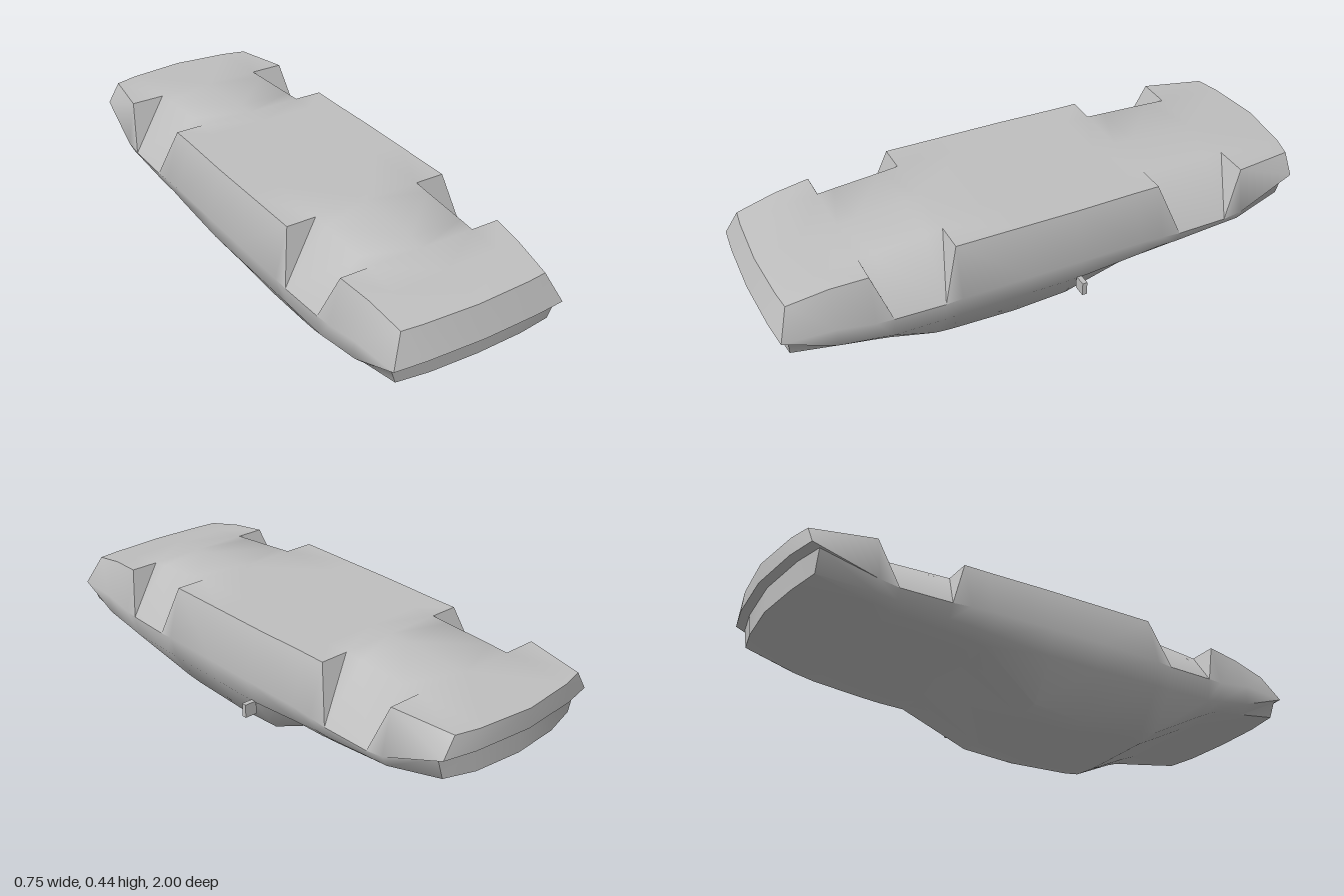
import * as THREE from 'three';
import { toCreasedNormals } from 'three/addons/utils/BufferGeometryUtils.js';

const INNER = 0.205; // inner edge of the wheel wells
const OFFSET = -0.01; // the shell sits slightly off centre

// Overturned car shell, nose to tail.
// z, floor y, floor edge x (0 = open wheel well), side x, side y, sill x, sill y, roof edge x, roof edge y, roof y
const STATIONS = [
  [0.96, 0.37, 0.28, 0.33, 0.265, 0.32, 0.25, 0.30, 0.195, 0.19],
  [0.80, 0.40, 0.295, 0.345, 0.27, 0.34, 0.20, 0.305, 0.17, 0.165],
  [0.67, 0.412, 0.31, 0.35, 0.25, 0.34, 0.18, 0.31, 0.15, 0.14],
  [0.61, 0.418, 0, 0.355, 0.25, 0.34, 0.17, 0.295, 0.125, 0.115],
  [0.43, 0.434, 0, 0.36, 0.25, 0.34, 0.17, 0.245, 0.035, 0.025],
  [0.37, 0.44, 0.315, 0.362, 0.255, 0.34, 0.17, 0.24, 0.025, 0.016],
  [0.12, 0.44, 0.315, 0.365, 0.26, 0.34, 0.17, 0.235, 0.014, 0],
  [-0.08, 0.44, 0.315, 0.365, 0.26, 0.34, 0.17, 0.24, 0.03, 0.02],
  [-0.31, 0.44, 0.31, 0.363, 0.26, 0.34, 0.19, 0.30, 0.16, 0.155],
  [-0.40, 0.44, 0.31, 0.363, 0.255, 0.34, 0.20, 0.31, 0.167, 0.16],
  [-0.47, 0.437, 0, 0.363, 0.25, 0.34, 0.20, 0.31, 0.172, 0.167],
  [-0.66, 0.429, 0, 0.36, 0.25, 0.34, 0.215, 0.31, 0.19, 0.185],
  [-0.73, 0.425, 0.33, 0.36, 0.26, 0.34, 0.22, 0.305, 0.20, 0.193],
  [-1.0, 0.412, 0.29, 0.335, 0.34, 0.325, 0.33, 0.30, 0.25, 0.24],
];

// Bowed ends: z shift of the floor, side, sill and roof rows, and the sweep at the corners
const NOSE = { shift: [0, 0.04, 0.015, 0.01], sweep: -0.018 };
const TAIL = { shift: [0, 0, 0.03, 0.03], sweep: 0.045 };

// Half section from floor centre round to roof centre
function halfSection(s, end) {
  const [z, fy, fx, sx, sy, lx, ly, rx, ry, by] = s;
  const pts = [
    [0, fy], [INNER, fy], fx ? [fx, fy] : [sx, sy], [sx, sy],
    [lx, ly], [rx, ry], [rx * 0.6, by], [0, by],
  ];
  const rows = [0, 0, 0, 1, 2, 3, 3, 3];
  const widths = [fx, sx, lx, rx];
  return pts.map(([x, y], i) => {
    const u = end ? x / widths[rows[i]] : 0;
    return [x, y, end ? z + end.shift[rows[i]] + end.sweep * u * u : z];
  });
}

function bodyGeometry() {
  const verts = [];
  const tri = (a, b, c) => {
    const [A, B, C] = [a, b, c].map((p) => new THREE.Vector3(...p));
    const area = B.clone().sub(A).cross(C.clone().sub(A)).length();
    if (area > 1e-7) verts.push(...a, ...b, ...c);
  };
  const quad = (a, b, c, d, alongAC) => {
    if (alongAC) { tri(a, b, c); tri(a, c, d); } else { tri(a, b, d); tri(b, c, d); }
  };
  const flip = ([x, y, z]) => [-x, y, z];
  const last = STATIONS.length - 1;
  const halves = STATIONS.map((s, i) => halfSection(s, i === 0 ? NOSE : i === last ? TAIL : null));

  // Skin between neighbouring sections, both sides
  for (let i = 0; i < last; i++) {
    const intoWell = STATIONS[i + 1][2] === 0 || STATIONS[i][2] !== 0;
    for (let j = 0; j < 7; j++) {
      const a = halves[i][j], b = halves[i][j + 1];
      const c = halves[i + 1][j + 1], d = halves[i + 1][j];
      quad(a, b, c, d, intoWell);
      quad(flip(b), flip(a), flip(d), flip(c), !intoWell);
    }
  }

  // Nose and tail faces, in rows from floor to roof
  [[0, NOSE], [last, TAIL]].forEach(([i, end]) => {
    const h = halves[i];
    const z = STATIONS[i][0];
    const across = (p, row) => [-1, -0.65, 0, 0.65, 1].map((u) =>
      [p[0] * u, p[1], z + end.shift[row] + end.sweep * u * u]);
    const rows = [
      [flip(h[2]), flip(h[1]), h[0], h[1], h[2]],
      across(h[3], 1),
      across(h[4], 2),
      [flip(h[5]), flip(h[6]), h[7], h[6], h[5]],
    ];
    for (let r = 0; r < 3; r++) {
      for (let k = 0; k < 4; k++) {
        const a = rows[r][k], b = rows[r + 1][k], c = rows[r + 1][k + 1], d = rows[r][k + 1];
        if (i === 0) quad(a, b, c, d, k < 2);
        else quad(d, c, b, a, k < 2);
      }
    }
  });

  const geo = new THREE.BufferGeometry();
  geo.setAttribute('position', new THREE.Float32BufferAttribute(verts, 3));
  return toCreasedNormals(geo, THREE.MathUtils.degToRad(52));
}

export function createModel() {
  const group = new THREE.Group();
  group.name = 'overturnedCarShell';
  const grey = new THREE.MeshStandardMaterial({ color: 0xbfbfbf });
  grey.name = 'plain grey';

  const body = new THREE.Mesh(bodyGeometry(), grey);
  body.name = 'body';
  body.position.x = OFFSET;
  group.add(body);

  // Single small mirror on the left flank
  const mirror = new THREE.Mesh(new THREE.BoxGeometry(0.047, 0.05, 0.018), grey);
  mirror.name = 'sideMirror';
  mirror.position.set(0.349, 0.15, -0.08);
  group.add(mirror);

  return group;
}
